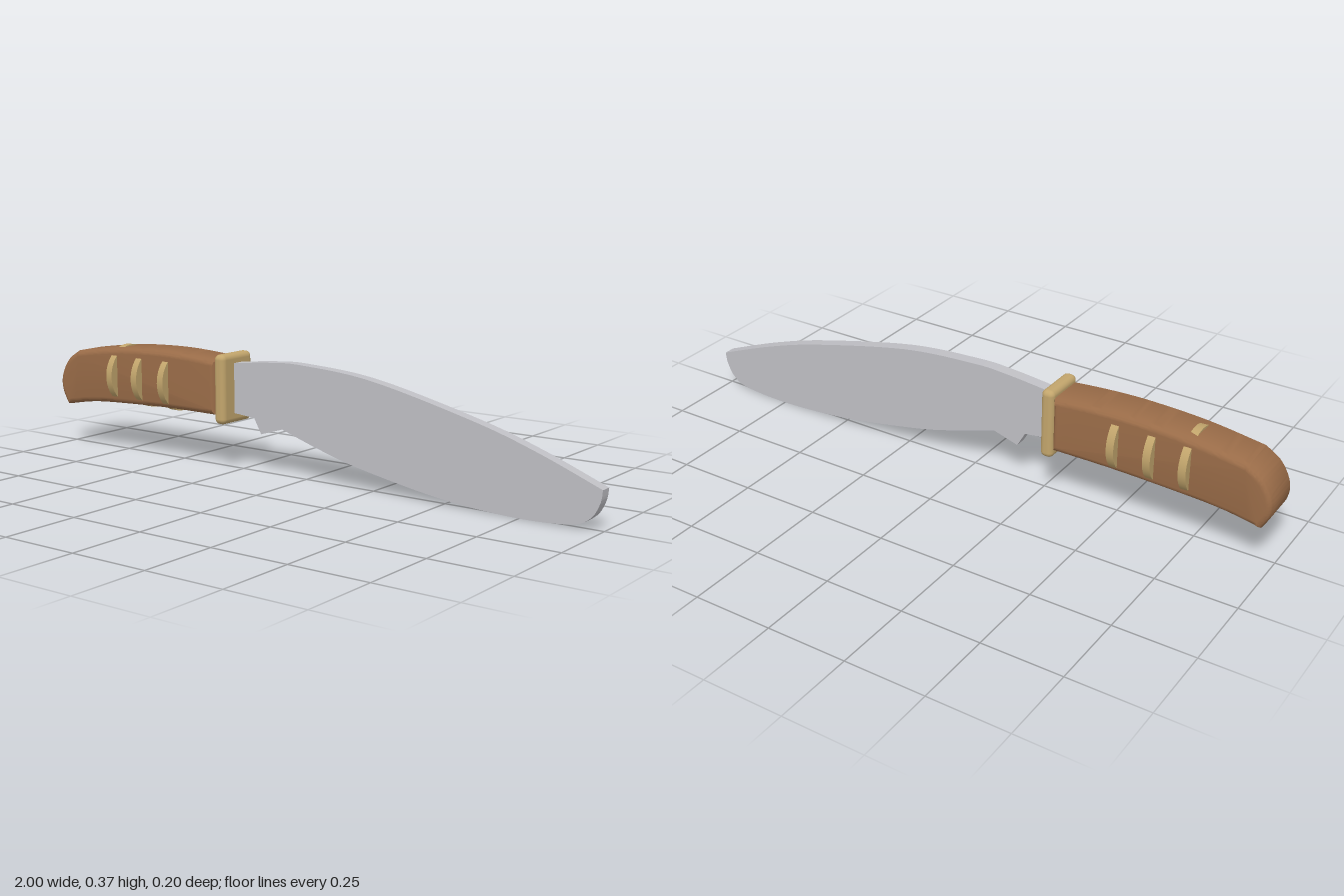
import * as THREE from 'three';
import { toCreasedNormals } from 'three/addons/utils/BufferGeometryUtils.js';
import { RoundedBoxGeometry } from 'three/addons/geometries/RoundedBoxGeometry.js';

// Outline made of smooth runs of points, meeting at sharp corners
function outline(runs) {
  const shape = new THREE.Shape();
  shape.moveTo(...runs[0][0]);
  for (const run of runs) {
    const pts = run.slice(1).map(([x, y]) => new THREE.Vector2(x, y));
    if (pts.length === 1) shape.lineTo(pts[0].x, pts[0].y);
    else shape.splineThru(pts);
  }
  return shape;
}

// Extruded slab centred on z = 0, with an optional rounded edge inside the outline
function slab(shape, halfWidth, bevel) {
  const geometry = new THREE.ExtrudeGeometry(shape, {
    depth: 2 * (halfWidth - bevel),
    curveSegments: 10,
    bevelEnabled: bevel > 0,
    bevelThickness: bevel,
    bevelSize: bevel,
    bevelOffset: -bevel,
    bevelSegments: 4,
  });
  geometry.translate(0, 0, bevel - halfWidth);
  return toCreasedNormals(geometry, 0.6);
}

export function createModel() {
  const model = new THREE.Group();
  model.name = 'knife';

  const material = (name, color) => {
    const m = new THREE.MeshStandardMaterial({ color });
    m.name = name;
    return m;
  };
  const steel = material('steel', 0xc0c0c5);
  const wood = material('wood', 0x9a6c48);
  const brass = material('brass', 0xc2a56c);

  const add = (name, geometry, mat, x = 0, y = 0) => {
    const mesh = new THREE.Mesh(geometry, mat);
    mesh.name = name;
    mesh.position.set(x, y, 0);
    model.add(mesh);
    return mesh;
  };

  // Blade: curved spine, rounded tip, swept belly and a notch by the guard
  const blade = outline([
    [[-0.3, 0.18], [-0.27, 0.182], [-0.19, 0.175]],
    [[-0.19, 0.175], [-0.163, 0.127]],
    [[-0.163, 0.127], [-0.08, 0.152]],
    [[-0.08, 0.152], [0.07, 0.105], [0.22, 0.067], [0.49, 0.02], [0.73, 0.002], [0.905, 0.01],
      [0.965, 0.035], [0.993, 0.08], [1, 0.12]],
    [[1, 0.12], [0.8, 0.197], [0.595, 0.26], [0.25, 0.338], [0, 0.36], [-0.125, 0.357], [-0.3, 0.339]],
    [[-0.3, 0.339], [-0.3, 0.18]],
  ]);
  add('blade', slab(blade, 0.019, 0), steel);

  // Handle: gently arched grip with a rounded butt
  const handle = outline([
    [[-0.97, 0.141], [-0.86, 0.16], [-0.74, 0.169], [-0.515, 0.177], [-0.31, 0.177]],
    [[-0.31, 0.177], [-0.31, 0.351]],
    [[-0.31, 0.351], [-0.43, 0.36], [-0.56, 0.363], [-0.74, 0.354], [-0.915, 0.33]],
    [[-0.915, 0.33], [-0.965, 0.295], [-0.995, 0.24], [-0.995, 0.19], [-0.97, 0.141]],
  ]);
  add('handle', slab(handle, 0.071, 0.018), wood);

  // Guard between handle and blade
  add('guard', new RoundedBoxGeometry(0.042, 0.222, 0.146, 4, 0.017), brass, -0.291, 0.261);

  // Discs set through the handle, showing as raised grip rings
  for (const x of [-0.74, -0.63, -0.515]) {
    const ring = add('gripRing', new THREE.CylinderGeometry(0.099, 0.099, 0.024, 48), brass, x, 0.261);
    ring.rotation.z = Math.PI / 2;
  }

  return model;
}
